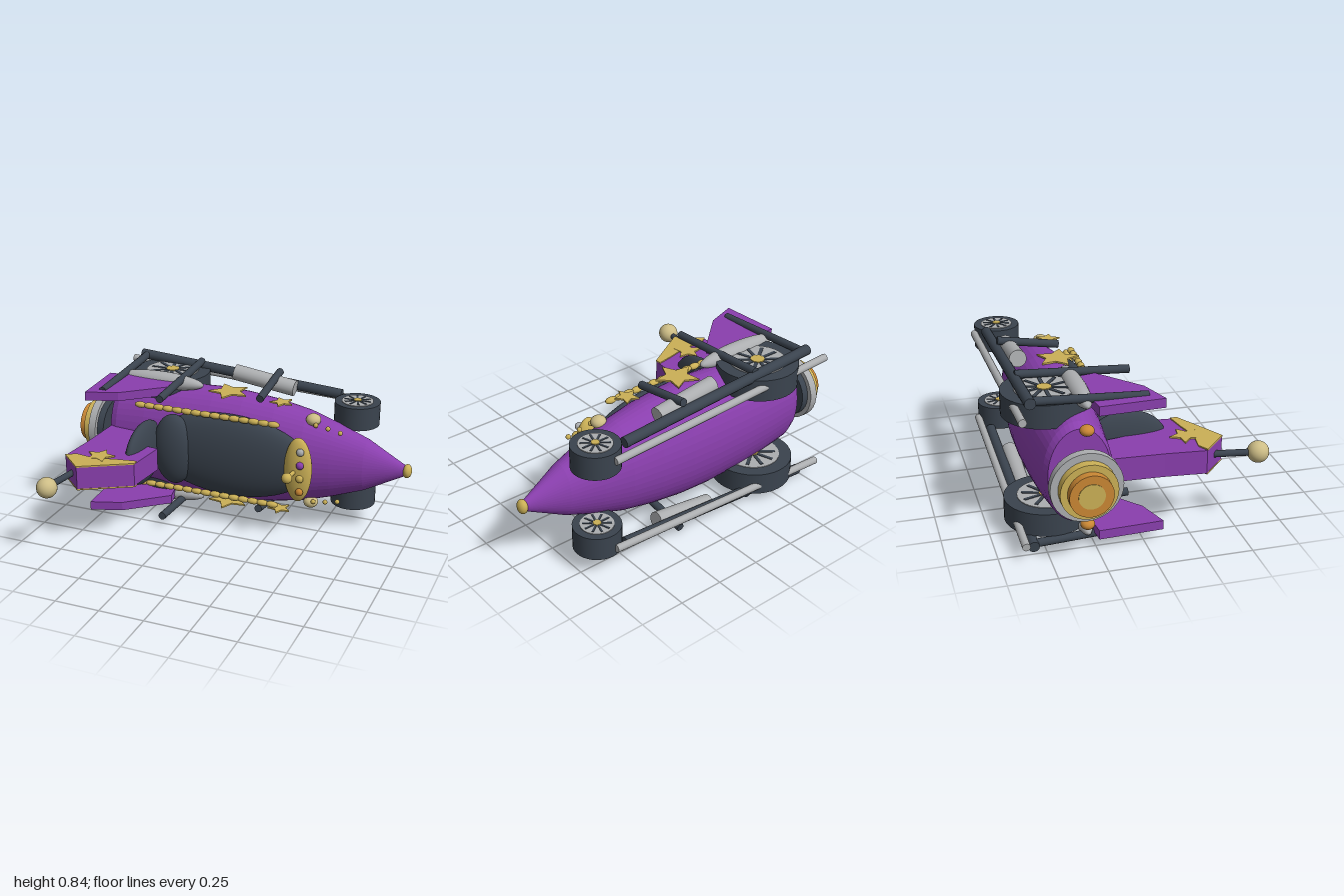
import * as THREE from 'three';

const C = 0.424; // height of the long axis; the vehicle lies on its side, nose to +x, its roof to +z
const AXIS_Z = -0.334;

const mat = (name, color) => {
  const m = new THREE.MeshStandardMaterial({ color });
  m.name = name;
  return m;
};

export function createModel() {
  const purple = mat('purple paint', 0x8a3fae);
  const dark = mat('dark rubber', 0x3a434e);
  const gold = mat('gold', 0xcbb056);
  const silver = mat('silver', 0xacaeb0);
  const orange = mat('orange', 0xca8734);
  const cream = mat('pale yellow', 0xcdbd86);

  const group = new THREE.Group();
  const add = (name, geo, material, x = 0, y = 0, z = 0, parent = group) => {
    const m = new THREE.Mesh(geo, material);
    m.name = name;
    m.position.set(x, y, z);
    parent.add(m);
    return m;
  };
  const ellipsoid = (name, material, x, y, z, rx, ry = rx, rz = rx, seg = 24) =>
    add(name, new THREE.SphereGeometry(1, seg, Math.ceil(seg * 0.67)).scale(rx, ry, rz), material, x, y, z);
  const rod = (name, material, a, b, r, seg = 14) => {
    const p = new THREE.Vector3(...a), q = new THREE.Vector3(...b), d = q.clone().sub(p);
    const m = add(name, new THREE.CylinderGeometry(r, r, d.length(), seg), material);
    m.position.copy(p).add(q).multiplyScalar(0.5);
    m.quaternion.setFromUnitVectors(new THREE.Vector3(0, 1, 0), d.normalize());
    return m;
  };
  // Flat outline in x and z, with its thickness centred on y
  const plate = (name, material, pts, y, thick) => {
    const shape = new THREE.Shape(pts.map(([x, z]) => new THREE.Vector2(x, -z)));
    const geo = new THREE.ExtrudeGeometry(shape, { depth: thick, bevelEnabled: false });
    return add(name, geo.translate(0, 0, -thick / 2).rotateX(-Math.PI / 2), material, 0, y, 0);
  };
  // Five-pointed star; dir 1 points a tip to -z, dir -1 to +z
  const star = (cx, cz, r, dir) => Array.from({ length: 10 }, (_, i) => {
    const a = (i * Math.PI) / 5, k = i % 2 ? r * 0.5 : r;
    return [cx + dir * Math.sin(a) * k, cz - dir * Math.cos(a) * k];
  });

  // Body: oval section, blunt tail and pointed nose
  const profile = [[0, -0.77], [0.25, -0.77], [0.275, -0.73], [0.305, -0.55], [0.325, -0.35], [0.333, -0.15],
    [0.327, 0.03], [0.305, 0.22], [0.27, 0.4], [0.218, 0.56], [0.15, 0.74], [0.09, 0.85], [0.028, 0.965], [0, 0.97]];
  let hull = new THREE.LatheGeometry(profile.map(([r, h]) => new THREE.Vector2(r, h)), 48);
  hull = hull.rotateZ(-Math.PI / 2).scale(1, 1, 0.64).toNonIndexed();
  hull.computeVertexNormals();
  add('body', hull, purple, 0, C, AXIS_Z);
  ellipsoid('noseTip', gold, 0.97, C, AXIS_Z, 0.026, 0.04, 0.034, 16);

  // Rocket nozzle: stacked rings along x
  [['nozzleBase', dark, -0.86, -0.82, 0.158], ['nozzleFlange', silver, -0.905, -0.86, 0.183],
    ['nozzleRing', gold, -0.953, -0.905, 0.145], ['nozzleEnd', orange, -0.997, -0.953, 0.11],
    ['nozzleCap', gold, -1, -0.99, 0.066]].forEach(([name, m, x0, x1, r]) =>
    rod(name, m, [x0, C, -0.33], [x1, C, -0.33], r, 32));

  // Cockpit, seat and dashboard
  ellipsoid('cockpit', dark, -0.02, C, -0.17, 0.49, 0.247, 0.09, 36);
  ellipsoid('seatCushion', dark, -0.34, C, -0.13, 0.127, 0.212, 0.075);
  ellipsoid('seatBack', dark, -0.478, C, -0.02, 0.056, 0.182, 0.222);
  ellipsoid('dashboard', gold, 0.41, C, -0.122, 0.08, 0.19, 0.046);
  [silver, purple, gold, orange].forEach((m, i) =>
    ellipsoid('dashButton', m, 0.435, C + 0.125 - i * 0.079, -0.076, 0.022, 0.022, 0.018, 14));
  rod('leverStem', gold, [0.4, C, -0.09], [0.39, C, 0], 0.012, 10);
  ellipsoid('leverKnob', gold, 0.39, C, 0.006, 0.03, 0.03, 0.03, 16);

  // Centre fin with antenna
  plate('centreFin', purple, [[-0.76, -0.25], [-0.775, 0.1], [-0.795, 0.315], [-0.66, 0.44],
    [-0.39, 0.285], [-0.365, 0.04], [-0.52, 0.02], [-0.56, -0.2]], C, 0.128);
  rod('antennaRod', dark, [-0.71, C, 0.33], [-0.75, C, 0.59], 0.018);
  ellipsoid('antennaBall', cream, -0.75, C, 0.604, 0.057);

  // Spoked wheel with its axle along y
  const wheel = (name, x, y, z, r, w) => {
    const g = new THREE.Group();
    g.name = name;
    g.position.set(x, y, z);
    group.add(g);
    add('tyre', new THREE.CylinderGeometry(r, r, w, 36), dark, 0, 0, 0, g);
    add('wheelDisc', new THREE.CylinderGeometry(r * 0.69, r * 0.69, w + 0.008, 32), silver, 0, 0, 0, g);
    add('hub', new THREE.CylinderGeometry(r * 0.17, r * 0.17, w + 0.02, 16), gold, 0, 0, 0, g);
    for (let i = 0; i < 10; i++) {
      const a = (i * Math.PI) / 5;
      const s = add('spoke', new THREE.BoxGeometry(r * 0.42, w + 0.014, r * 0.085), dark,
        Math.cos(a) * r * 0.38, 0, -Math.sin(a) * r * 0.38, g);
      s.rotation.y = a;
    }
  };

  // Everything that is mirrored across the long axis
  for (const s of [1, -1]) {
    const Y = (d) => C + s * d;
    wheel('frontWheel', 0.63, Y(0.243), -0.485, 0.128, 0.13);
    wheel('rearWheel', -0.485, Y(0.297), -0.443, 0.222, 0.124);

    // Side frame rails, posts, exhaust and wheel fairing
    rod('frameRail', dark, [-0.735, Y(0.39), -0.563], [0.515, Y(0.305), -0.563], 0.029);
    rod('exhaustPipe', silver, [-0.82, Y(0.335), -0.618], [0.61, Y(0.265), -0.618], 0.021);
    rod('muffler', silver, [-0.11, Y(0.375), -0.5], [0.255, Y(0.325), -0.5], 0.046, 20);
    for (const x of [-0.7, -0.35]) rod('longPost', dark, [x, Y(0.358), 0.032], [x, Y(0.39), -0.565], 0.022);
    rod('shortPost', dark, [0.14, Y(0.338), -0.23], [0.14, Y(0.39), -0.565], 0.022);
    ellipsoid('wheelFairing', silver, -0.485, Y(0.348), -0.283, 0.265, 0.05, 0.052);

    // Side fin
    plate('sideFin', purple, [[-0.79, -0.24], [-0.775, 0.1], [-0.6, 0.04], [-0.375, -0.155],
      [-0.4, -0.28]], Y(0.339), 0.05);

    // Gold plates on the body and on the centre fin
    plate('largeStar', gold, star(-0.06, -0.28, 0.12, -1), Y(0.338), 0.009);
    plate('smallStar', gold, star(0.26, -0.262, 0.068, -1), Y(0.326), 0.009);
    plate('finTip', gold, [[-0.795, 0.317], [-0.66, 0.442], [-0.388, 0.285], [-0.39, 0.25],
      [-0.5, 0.27], [-0.62, 0.3], [-0.74, 0.285]], Y(0.067), 0.008);
    plate('finStar', gold, star(-0.61, 0.26, 0.085, 1), Y(0.068), 0.009);

    // Bead trim beside the cockpit
    for (let i = 0; i < 15; i++)
      ellipsoid('trimBead', gold, -0.545 + i * 0.0575, Y(0.242), -0.128, 0.036, 0.018, 0.02, 12);

    // Headlight, marker studs and tail lamp
    ellipsoid('headlight', cream, 0.445, Y(0.25), -0.265, 0.042, 0.034, 0.042, 18);
    [[0.47, 0.232], [0.54, 0.222], [0.61, 0.207]].forEach(([x, d]) =>
      ellipsoid('markerStud', gold, x, Y(d), -0.23, 0.014, 0.014, 0.014, 10));
    ellipsoid('tailLamp', orange, -0.805, Y(0.255), -0.305, 0.038, 0.028, 0.037, 18);
  }
  return group;
}
